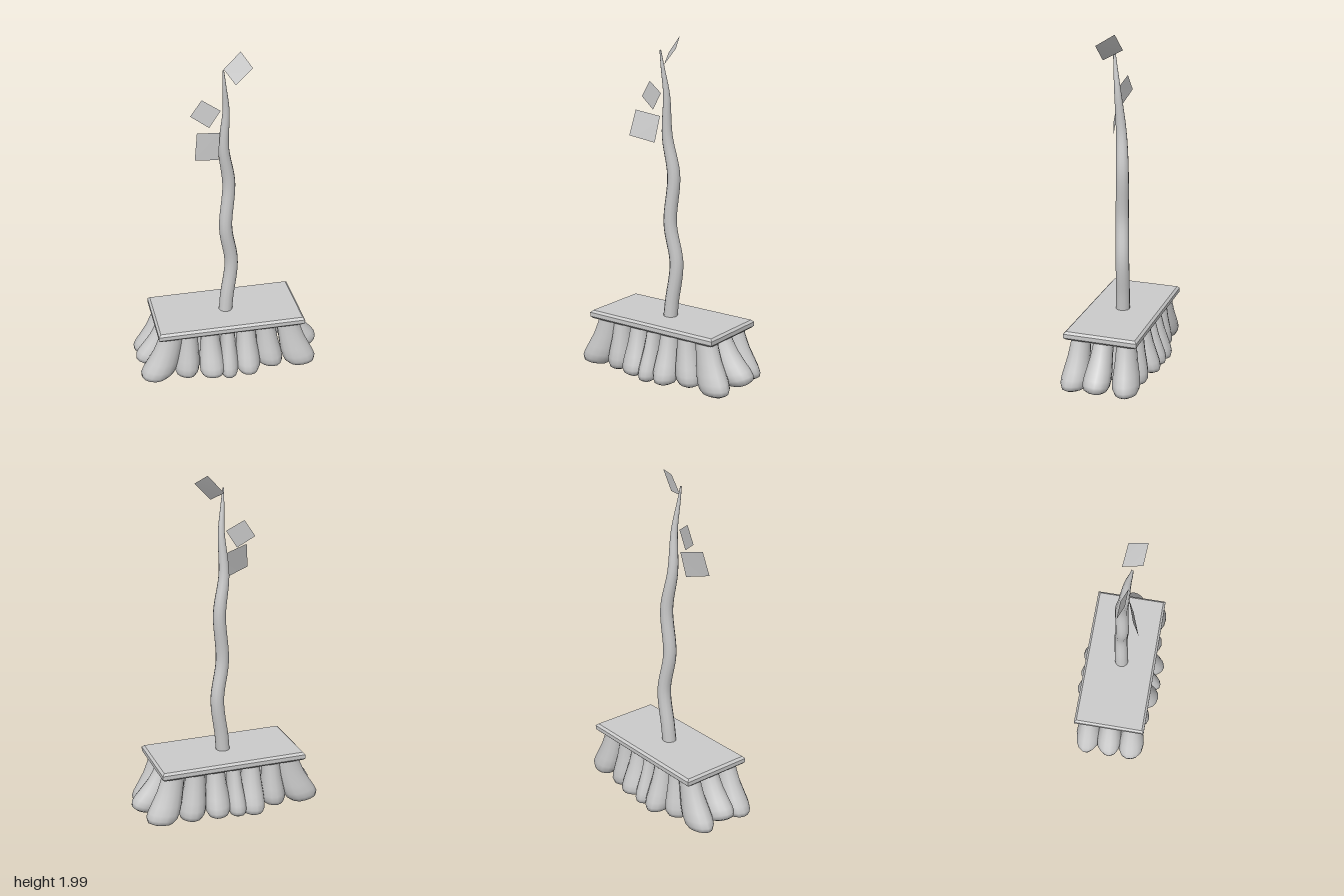
import * as THREE from 'three';
import { mergeVertices } from 'three/addons/utils/BufferGeometryUtils.js';

const grey = new THREE.MeshStandardMaterial({ color: 0xcccccc });
const greyThin = new THREE.MeshStandardMaterial({ color: 0xcccccc, side: THREE.DoubleSide });

function part(name, geometry, material = grey) {
  const mesh = new THREE.Mesh(geometry, material);
  mesh.name = name;
  return mesh;
}

// Drop seams so that the normals run smoothly all round
function smooth(geometry) {
  geometry.deleteAttribute('uv');
  geometry.deleteAttribute('normal');
  const merged = mergeVertices(geometry, 1e-5);
  merged.computeVertexNormals();
  return merged;
}

// Bevelled board, x -0.455..0.425, y 0.31..0.36, z -0.225..0.21
function boardGeometry() {
  const b = 0.013;
  const w = 0.44 - b, d = 0.2175 - b;
  const shape = new THREE.Shape([[-w, -d], [w, -d], [w, d], [-w, d]].map(p => new THREE.Vector2(...p)));
  const g = new THREE.ExtrudeGeometry(shape, { depth: 0.05 - 2 * b, bevelThickness: b, bevelSize: b, bevelSegments: 1 });
  return g.rotateX(-Math.PI / 2).translate(-0.015, 0.31 + b, -0.0075);
}

// Crooked stick: a tube whose rings shrink towards the tip
function stickGeometry() {
  const curve = new THREE.CatmullRomCurve3([
    [-0.017, 0.33, 0], [-0.006, 0.45, -0.004], [0.022, 0.68, -0.01], [-0.014, 0.92, 0.003],
    [0.006, 1.2, -0.004], [-0.027, 1.43, 0.013], [-0.018, 1.67, 0.032], [-0.031, 1.82, 0.05], [-0.04, 1.92, 0.06],
  ].map(p => new THREE.Vector3(...p)));
  const rings = 48, sides = 12;
  const g = new THREE.TubeGeometry(curve, rings, 1, sides);
  const pos = g.attributes.position;
  const v = new THREE.Vector3();
  for (let i = 0; i < pos.count; i++) {
    const u = Math.floor(i / (sides + 1)) / rings;
    const radius = u < 0.55 ? 0.042 - 0.008 * u : 0.0376 - 0.033 * ((u - 0.55) / 0.45) ** 1.4;
    const centre = curve.getPointAt(u);
    v.fromBufferAttribute(pos, i).sub(centre).multiplyScalar(radius).add(centre);
    pos.setXYZ(i, v.x, v.y, v.z);
  }
  return smooth(g);
}

// Bulging tuft: a lathe stretched in plan, then leaned from its top to its foot
function tuftGeometry(top, foot, halfW, halfD, low, lift, phase) {
  const profile = [[0, 0], [0.45, 0], [0.8, 0.045], [0.97, 0.13], [1, 0.24], [0.94, 0.4], [0.82, 0.62], [0.74, 0.85], [0.7, 1]];
  const g = new THREE.LatheGeometry(profile.map(p => new THREE.Vector2(...p)), 14);
  const pos = g.attributes.position;
  for (let i = 0; i < pos.count; i++) {
    const x = pos.getX(i), y = pos.getY(i), z = pos.getZ(i);
    const down = 1 - y;
    const lean = 0.5 * down + 0.5 * down * down;
    const bump = 1 + 0.05 * Math.sin(3 * Math.atan2(z, x) + phase) * down;
    pos.setXYZ(i,
      top[0] + (foot[0] - top[0]) * lean + x * halfW * bump,
      low + y * (0.32 - low) + lift * x * halfW * down,
      top[1] + (foot[1] - top[1]) * lean + z * halfD * bump);
  }
  return smooth(g);
}

// Thin four-cornered leaf
function leafGeometry(corners) {
  const g = new THREE.BufferGeometry();
  g.setAttribute('position', new THREE.Float32BufferAttribute(corners.flat(), 3));
  g.setIndex([0, 1, 2, 0, 2, 3]);
  g.computeVertexNormals();
  return g;
}

export function createModel() {
  const model = new THREE.Group();
  model.name = 'broom';
  model.add(part('board', boardGeometry()), part('stick', stickGeometry()));

  // Tuft columns: x at the top, x at the foot, half width, z of the outer feet
  const columns = [
    [-0.365, -0.485, 0.1, 0.14], [-0.265, -0.285, 0.075, 0.15], [-0.14, -0.135, 0.075, 0.2],
    [-0.03, -0.035, 0.055, 0.2], [0.08, 0.085, 0.075, 0.2], [0.2, 0.235, 0.08, 0.155], [0.335, 0.43, 0.095, 0.16],
  ];
  const tufts = new THREE.Group();
  tufts.name = 'bristleTufts';
  columns.forEach(([topX, footX, halfW, footZ], c) => {
    for (const row of [-1, 0, 1]) {
      const end = c === 0 ? -1 : c === columns.length - 1 ? 1 : 0;
      const middle = row === 0;
      const x = footX + (middle ? end * (end > 0 ? 0.06 : 0.01) : 0);
      const low = middle && end ? 0.04 : 0.012 + 0.008 * ((c + row + 2) % 3);
      const lift = end * (middle ? 0.35 : 0.1);
      tufts.add(part('tuft', tuftGeometry([topX, row * 0.135 - 0.005], [x, row * footZ - 0.003],
        halfW, 0.078, low, lift, c * 1.7 + row * 2.3)));
    }
  });
  model.add(tufts);

  // Leaves beside the upper stick
  const leaves = {
    topLeaf: [[-0.025, 1.9, 0.003], [0.02, 1.845, 0.105], [0.11, 1.94, 0.117], [0.065, 2, 0.02]],
    upperLeaf: [[-0.213, 1.64, 0.006], [-0.113, 1.575, 0.033], [-0.05, 1.675, 0.042], [-0.15, 1.735, 0.015]],
    lowerLeaf: [[-0.213, 1.43, 0.125], [-0.07, 1.395, 0.075], [-0.055, 1.545, 0.045], [-0.193, 1.575, 0.09]],
  };
  for (const [name, corners] of Object.entries(leaves)) model.add(part(name, leafGeometry(corners), greyThin));

  return model;
}
